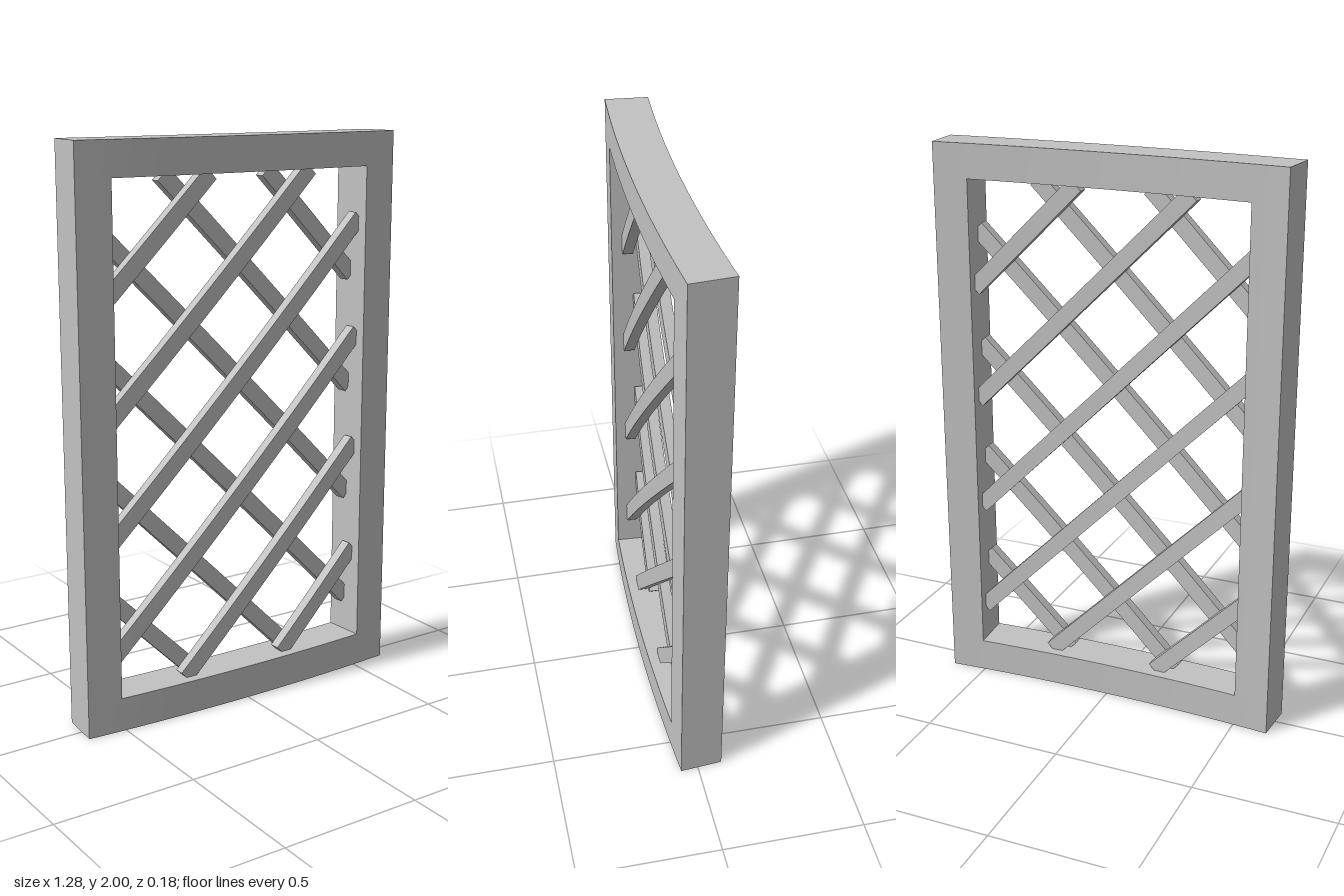
import * as THREE from 'three';
import { toCreasedNormals } from 'three/addons/utils/BufferGeometryUtils.js';

const HALF_W = 0.634, INNER = 0.509, RAIL = 0.12, HEIGHT = 2, DEPTH = 0.15;
const RADIUS = 7.8, Z_SHIFT = 0.0129; // the whole panel bows gently forward
const SLAT_W = 0.058, SLAT_D = 0.038, PITCH = 0.4125;

// Wrap a flat geometry around the vertical bending axis behind the panel
function bend(geo) {
  const p = geo.attributes.position;
  for (let i = 0; i < p.count; i++) {
    const a = p.getX(i) / RADIUS, r = RADIUS + p.getZ(i);
    p.setXYZ(i, r * Math.sin(a), p.getY(i), r * Math.cos(a) - RADIUS + Z_SHIFT);
  }
  return toCreasedNormals(geo, 0.5);
}

export function createModel() {
  const group = new THREE.Group();
  group.name = 'curvedLatticePanel';
  const grey = new THREE.MeshStandardMaterial({ color: 0xc2c2c2 });
  grey.name = 'lightGrey';

  const add = (name, geo) => {
    const mesh = new THREE.Mesh(bend(geo), grey);
    mesh.name = name;
    group.add(mesh);
  };

  // Frame rails, top and bottom
  for (const [name, y] of [['bottomRail', RAIL / 2], ['topRail', HEIGHT - RAIL / 2]]) {
    add(name, new THREE.BoxGeometry(HALF_W * 2, RAIL, DEPTH, 20, 1, 1).translate(0, y, 0));
  }

  // Frame stiles, left and right
  for (const [name, s] of [['leftStile', 1], ['rightStile', -1]]) {
    add(name, new THREE.BoxGeometry(HALF_W - INNER, HEIGHT - 2 * RAIL, DEPTH, 2, 1, 1)
      .translate(s * (HALF_W + INNER) / 2, HEIGHT / 2, 0));
  }

  // Two layers of diagonal slats: rising to +x in front, mirrored behind
  for (const [name, s] of [['frontSlat', 1], ['backSlat', -1]]) {
    for (let k = 0; k < 6; k++) {
      const c = 0.975 + (k - 2.5) * PITCH; // slat height at the panel centre
      const x0 = Math.max(-INNER - 0.006, RAIL - c);
      const x1 = Math.min(INNER + 0.006, HEIGHT - RAIL - c);
      const xm = (x0 + x1) / 2;
      add(name + (k + 1), new THREE.BoxGeometry((x1 - x0) * Math.SQRT2, SLAT_W, SLAT_D, 12, 1, 1)
        .rotateZ(s * Math.PI / 4)
        .translate(s * xm, xm + c, s * SLAT_D / 2));
    }
  }
  return group;
}
